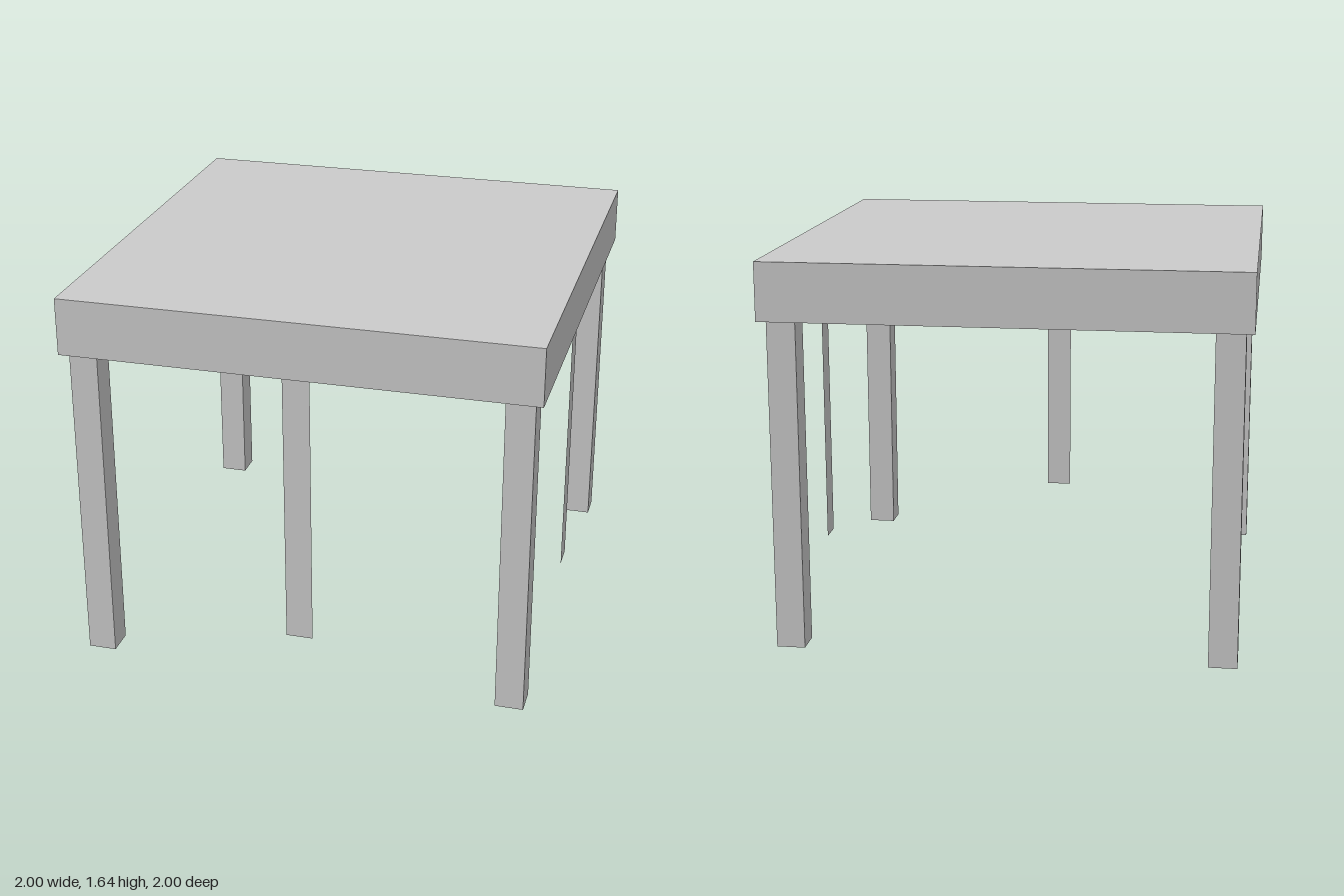
import * as THREE from 'three';

const TOP = 1.645;      // upper face of the table top
const UNDER = 1.4;      // underside of the table top
const LEG = 0.12;       // leg thickness
const LEG_POS = 0.906;  // leg centre distance from the axes
const STRIP_W = 0.115;
const STRIP_FOOT = 0.2; // hanging strips stop above the ground

export function createModel() {
  const model = new THREE.Group();
  model.name = 'table';
  const material = new THREE.MeshStandardMaterial({ color: 0xcccccc, flatShading: true });
  const thin = material.clone();
  thin.side = THREE.DoubleSide;

  const add = (name, geometry, mat, x, y, z) => {
    const mesh = new THREE.Mesh(geometry, mat);
    mesh.name = name;
    mesh.position.set(x, y, z);
    model.add(mesh);
    return mesh;
  };

  // Thick square slab
  add('tableTop', new THREE.BoxGeometry(2, TOP - UNDER, 2), material, 0, (TOP + UNDER) / 2, 0);

  // Four square corner legs
  const legGeometry = new THREE.BoxGeometry(LEG, UNDER, LEG);
  for (const [sideName, x] of [['Left', 1], ['Right', -1]]) {
    for (const [endName, z] of [['front', 1], ['back', -1]]) {
      add(`${endName}${sideName}Leg`, legGeometry, material, x * LEG_POS, UNDER / 2, z * LEG_POS);
    }
  }

  // Paper-thin strips hanging mid-edge, flush with the outer leg faces
  const stripGeometry = new THREE.PlaneGeometry(STRIP_W, UNDER - STRIP_FOOT);
  const stripY = (UNDER + STRIP_FOOT) / 2;
  const flush = LEG_POS + LEG / 2;
  add('frontStrip', stripGeometry, thin, 0, stripY, flush);
  add('leftStrip', stripGeometry, thin, flush, stripY, 0).rotation.y = Math.PI / 2;

  return model;
}
